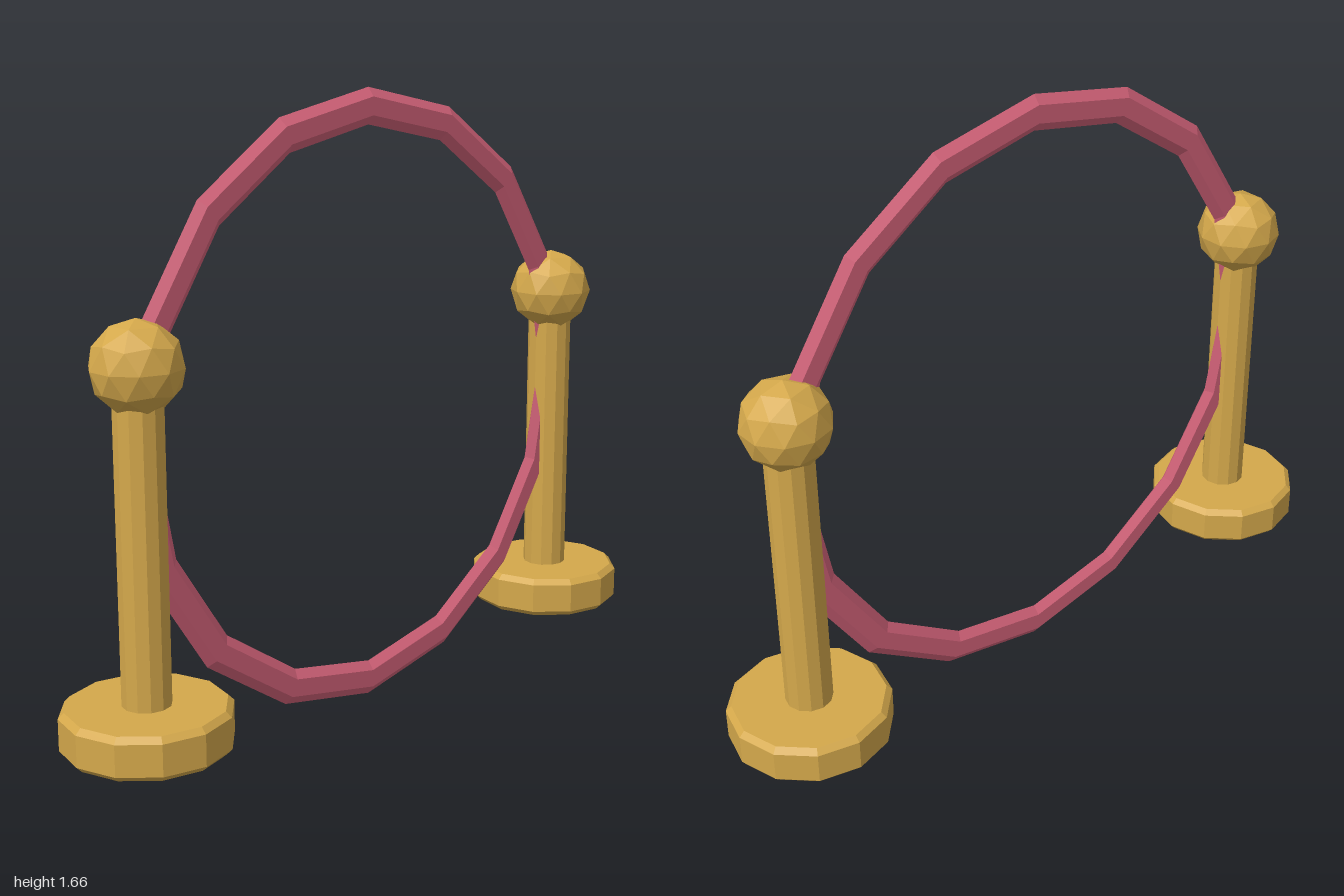
import * as THREE from 'three';

const gold = new THREE.MeshStandardMaterial({ name: 'gold', color: 0xd4a84b, flatShading: true });
const rose = new THREE.MeshStandardMaterial({ name: 'rose', color: 0xd4637a, flatShading: true });

function part(name, geometry, material, y) {
  const mesh = new THREE.Mesh(geometry, material);
  mesh.name = name;
  mesh.position.y = y;
  return mesh;
}

// Post on a bevelled round foot, topped by a faceted ball
function makeStand(name, x) {
  const stand = new THREE.Group();
  stand.name = name;
  stand.position.x = x;

  const r = 0.217, h = 0.112, b = 0.015;
  const profile = [[0, 0], [r - b, 0], [r, b], [r, h - b], [r - b, h], [0, h]]
    .map(([px, py]) => new THREE.Vector2(px, py));
  stand.add(part('foot', new THREE.LatheGeometry(profile, 12), gold, 0.094));

  stand.add(part('post', new THREE.CylinderGeometry(0.0625, 0.0625, 0.8, 12), gold, 0.58));

  // Turn one corner of the icosahedron to the top
  const ball = new THREE.IcosahedronGeometry(0.117, 1);
  ball.rotateZ(-Math.atan(2 / (1 + Math.sqrt(5))));
  stand.add(part('ball', ball, gold, 1.044));
  return stand;
}

export function createModel() {
  const model = new THREE.Group();
  model.name = 'hoopBetweenPosts';

  // Sixteen-sided hoop, flattened front to back
  const hoop = new THREE.TorusGeometry(0.783, 0.048, 6, 16);
  hoop.scale(1, 1, 0.45);
  model.add(part('hoop', hoop, rose, 0.831));

  model.add(makeStand('leftStand', 0.783), makeStand('rightStand', -0.783));
  return model;
}
